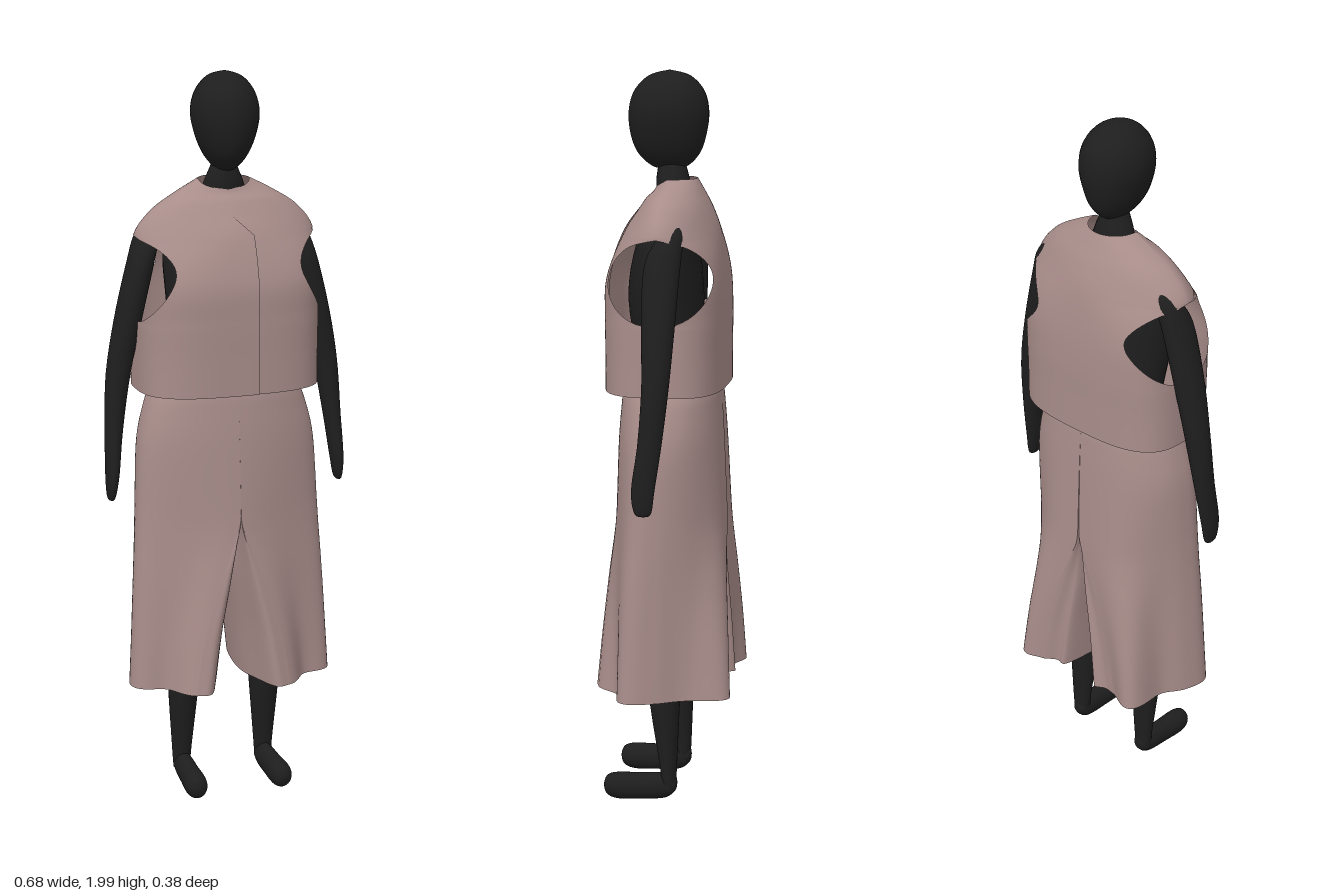
import * as THREE from 'three';
import { mergeVertices } from 'three/addons/utils/BufferGeometryUtils.js';

const skin = new THREE.MeshStandardMaterial({ color: 0x1e1e1e });
skin.name = 'charcoal body';
const cloth = new THREE.MeshStandardMaterial({ color: 0xa88d8a, side: THREE.DoubleSide });
cloth.name = 'dusty rose cloth';

// Smooth interpolation through rows of numbers
function spline(keys, t) {
  const n = keys.length, s = t * (n - 1), i = Math.min(Math.floor(s), n - 2), f = s - i;
  const row = (k) => keys[Math.max(0, Math.min(n - 1, k))];
  return keys[0].map((_, j) => {
    const a = row(i - 1)[j], b = row(i)[j], c = row(i + 1)[j], d = row(i + 2)[j];
    return b + 0.5 * f * (c - a + f * (2 * a - 5 * b + 4 * c - d + f * (3 * (b - c) + d - a)));
  });
}

const spow = (v, p) => Math.sign(v) * Math.pow(Math.abs(v), p);

// Surface from point(u, v): u runs round the ring, v runs upward
function surface(point, nu, nv) {
  const pos = [], idx = [];
  for (let j = 0; j <= nv; j++)
    for (let i = 0; i <= nu; i++) pos.push(...point(i / nu, j / nv));
  for (let j = 0; j < nv; j++)
    for (let i = 0; i < nu; i++) {
      const a = j * (nu + 1) + i, b = a + nu + 1;
      idx.push(a, b, a + 1, a + 1, b, b + 1);
    }
  const g = new THREE.BufferGeometry();
  g.setAttribute('position', new THREE.Float32BufferAttribute(pos, 3));
  g.setIndex(idx);
  const merged = mergeVertices(g, 1e-5);
  merged.computeVertexNormals();
  return merged;
}

// Round form from sections [x, y, z, radiusX, radiusZ], listed bottom to top
function loft(keys, side = 1) {
  return surface((u, v) => {
    const [x, y, z, rx, rz] = spline(keys, v);
    const a = u * Math.PI * 2;
    return [side * x + Math.max(rx, 0) * Math.cos(a), y, z + Math.max(rz, 0) * Math.sin(a)];
  }, 28, 40);
}

function add(group, name, geometry, material) {
  const mesh = new THREE.Mesh(geometry, material);
  mesh.name = name;
  group.add(mesh);
}

// Vest sections: y, half width, front depth, back depth, squareness
const VEST = [
  [1.16, 0.25, 0.165, 0.155, 3], [1.26, 0.25, 0.165, 0.155, 3],
  [1.36, 0.25, 0.165, 0.155, 3.1], [1.46, 0.25, 0.16, 0.149, 3.1],
  [1.57, 0.25, 0.125, 0.132, 1.9], [1.635, 0.205, 0.085, 0.11, 1.8],
  [1.68, 0.137, 0.055, 0.088, 1.9], [1.715, 0.07, 0.04, 0.07, 2],
];

// Vest panel between two edges, each a function giving the ring angle at a height
function vestPanel(from, to, front, lift = 0) {
  return surface((u, v) => {
    const [y, w, df, db, n] = spline(VEST, v);
    const d = front ? df : db, p = 2 / n;
    const s = { y, w, d, p };
    const a = from(s) + (to(s) - from(s)) * u;
    const neck = THREE.MathUtils.smoothstep(y, 1.66, 1.715);
    const sin = Math.sin(a);
    return [
      w * spow(Math.cos(a), p),
      y - 0.022 * neck * Math.max(0, sin),
      (d + lift) * spow(sin, p),
    ];
  }, 40, 90);
}

// Angle at which a panel stops to leave the armhole open
function armhole({ y, d, p }) {
  const q = (y - 1.458) / 0.112;
  if (Math.abs(q) >= 1) return 0;
  const ratio = Math.min(0.92, 0.137 * Math.sqrt(1 - q * q) / d);
  return Math.asin(Math.pow(ratio, 1 / p));
}

// Angle of the overlapping front edge, slanting across the chest near the neck
const lap = (shift) => ({ y, w, p }) => {
  const x = 0.045 - 0.115 * THREE.MathUtils.clamp((y - 1.58) / 0.11, 0, 1) + shift;
  return Math.acos(spow(THREE.MathUtils.clamp(x / w, -0.95, 0.95), 1 / p));
};

// Trouser sections: y, outer x, front depth, back depth, leg centre, inner x, fold strength
const TROUSERS = [
  [0.33, 0.268, 0.165, 0.165, 0.138, 0.036, 0.42], [0.48, 0.262, 0.16, 0.162, 0.11, 0.02, 0.33],
  [0.63, 0.257, 0.155, 0.157, 0.065, 0.002, 0.23], [0.74, 0.254, 0.15, 0.153, 0.022, 0, 0.15],
  [0.82, 0.252, 0.147, 0.151, 0, 0, 0.11], [1.0, 0.246, 0.138, 0.145, 0, 0, 0.045],
  [1.1, 0.225, 0.13, 0.14, 0, 0, 0.018], [1.16, 0.2, 0.122, 0.134, 0, 0, 0],
  [1.22, 0.155, 0.1, 0.11, 0, 0, 0],
];

// Directions of the cloth folds round each leg, in degrees from the outer side
const FOLDS = { left: [20, 101, -77, -135], right: [14, 99, -66, -126] };

// Half of one trouser leg: the outside or the inside of the tube
function trouserPanel(side, folds, start) {
  return surface((u, v) => {
    const [y, w, df, db, c0, xi, fold] = spline(TROUSERS, v);
    const c = Math.max(0, c0);
    const t = start + (side > 0 ? u : 1 - u) * Math.PI;
    const lobes = folds.reduce((sum, deg) =>
      sum + Math.exp(11 * (Math.cos(t - THREE.MathUtils.degToRad(deg)) - 1)), 0);
    const k = 1 + fold * (lobes - 0.6);
    const cos = Math.cos(t), sin = Math.sin(t);
    const x = cos > 0
      ? c + (w - c) * spow(cos, 0.85) * k
      : c + Math.max(0, c - xi) * spow(cos, 0.6);
    return [side * x, y, (sin > 0 ? df : db) * spow(sin, 0.85) * k];
  }, 60, 56);
}

export function createModel() {
  const model = new THREE.Group();
  model.name = 'dressedFigure';

  // Body
  add(model, 'head', loft([
    [0, 1.737, 0.006, 0, 0], [0, 1.745, 0.006, 0.026, 0.045], [0, 1.78, 0.008, 0.056, 0.083],
    [0, 1.83, 0.009, 0.078, 0.102], [0, 1.89, 0.008, 0.09, 0.108], [0, 1.945, 0.007, 0.078, 0.094],
    [0, 1.985, 0.006, 0.045, 0.055], [0, 2.0, 0.006, 0, 0],
  ]), skin);
  add(model, 'torso', loft([
    [0, 1.0, 0, 0.15, 0.09], [0, 1.2, 0, 0.14, 0.09], [0, 1.4, 0.015, 0.165, 0.1],
    [0, 1.55, 0.01, 0.17, 0.08], [0, 1.63, 0, 0.11, 0.055], [0, 1.68, -0.005, 0.065, 0.047],
    [0, 1.715, -0.003, 0.05, 0.044], [0, 1.76, 0, 0.03, 0.035],
  ]), skin);

  for (const side of [1, -1]) {
    const label = side > 0 ? 'left' : 'right';
    add(model, label + 'Arm', loft([
      [0.327, 0.86, 0.02, 0, 0], [0.326, 0.868, 0.02, 0.01, 0.022], [0.322, 0.93, 0.02, 0.018, 0.031],
      [0.312, 1.05, 0.004, 0.024, 0.032], [0.295, 1.2, -0.008, 0.033, 0.036],
      [0.265, 1.35, -0.01, 0.037, 0.044], [0.228, 1.5, -0.014, 0.036, 0.048],
      [0.205, 1.57, -0.03, 0.034, 0.036], [0.19, 1.605, -0.038, 0.018, 0.018], [0.185, 1.615, -0.038, 0, 0],
    ], side), skin);
    add(model, label + 'Leg', loft([
      [0.121, 0.04, -0.012, 0.024, 0.02], [0.121, 0.1, -0.012, 0.028, 0.023],
      [0.118, 0.33, 0, 0.046, 0.045], [0.11, 0.6, 0, 0.06, 0.065], [0.09, 1.0, 0, 0.07, 0.08],
    ], side), skin);
    // Foot is lofted upright, then laid forward
    const foot = loft([
      [0.12, -0.036, -0.058, 0, 0], [0.12, -0.03, -0.057, 0.018, 0.022], [0.12, 0, -0.05, 0.026, 0.036],
      [0.122, 0.07, -0.045, 0.029, 0.037], [0.124, 0.13, -0.043, 0.031, 0.037],
      [0.124, 0.16, -0.044, 0.022, 0.026], [0.124, 0.17, -0.044, 0, 0],
    ], side);
    foot.rotateX(Math.PI / 2);
    add(model, label + 'Foot', foot, skin);

    // Trouser leg
    add(model, label + 'TrouserOuter', trouserPanel(side, FOLDS[label], -Math.PI / 2), cloth);
    add(model, label + 'TrouserInner', trouserPanel(side, FOLDS[label], Math.PI / 2), cloth);
  }

  // Vest: back, under front and overlapping front
  const far = (s) => Math.PI - armhole(s);
  add(model, 'vestBack', vestPanel((s) => Math.PI + armhole(s), (s) => 2 * Math.PI - armhole(s), false), cloth);
  add(model, 'vestLeftFront', vestPanel(armhole, lap(-0.01), true), cloth);
  add(model, 'vestRightFront', vestPanel(lap(0), far, true, 0.004), cloth);

  return model;
}
